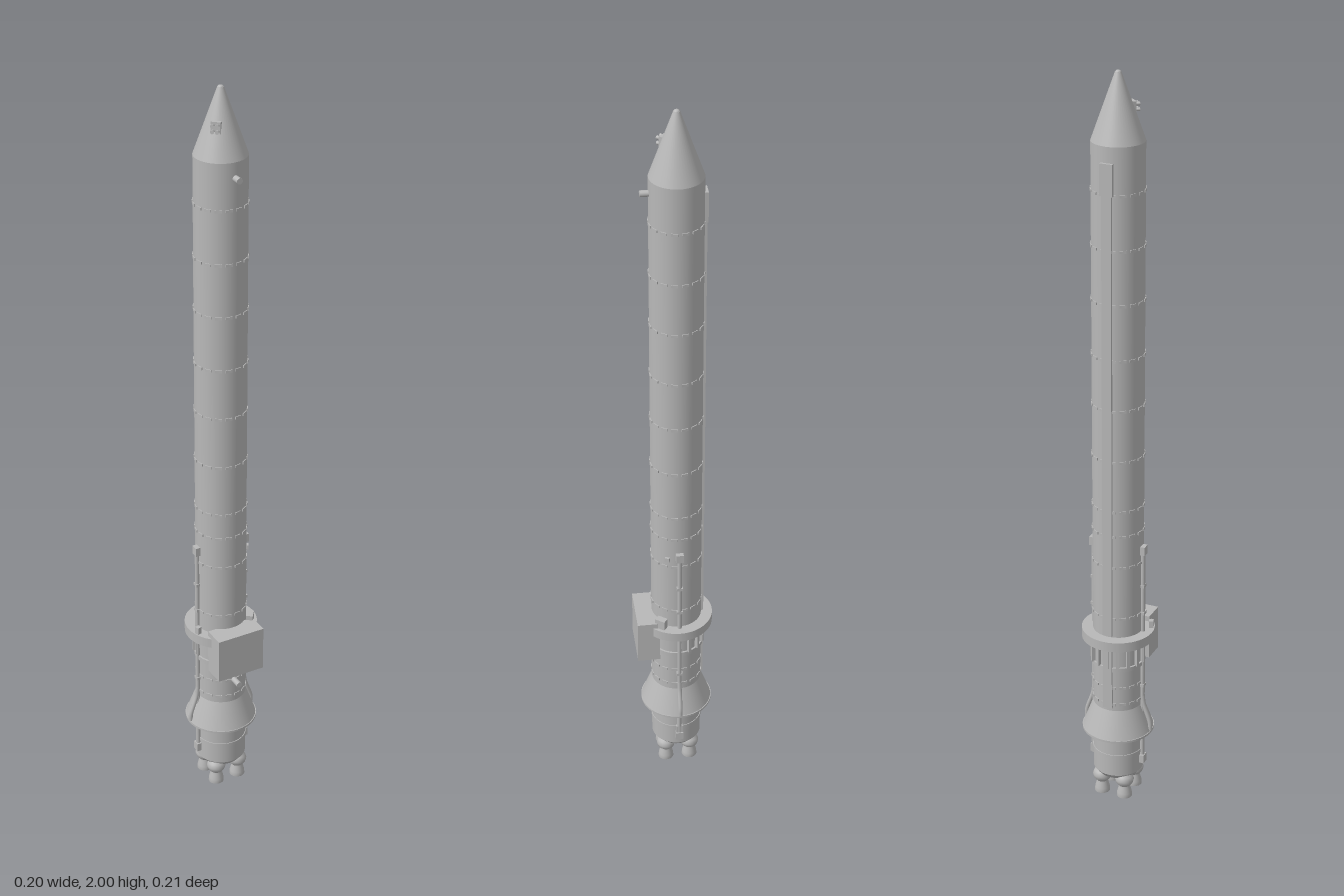
import * as THREE from 'three';

export function createModel() {
  const model = new THREE.Group();
  model.name = 'rocket';
  // the hull axis sits slightly behind the origin
  const rocket = new THREE.Group();
  rocket.name = 'hullAssembly';
  rocket.position.z = -0.009;
  model.add(rocket);
  const grey = new THREE.MeshStandardMaterial({ color: 0xb8b8b8 });
  grey.name = 'hull grey';
  const R = 0.067;

  function add(name, geometry, x = 0, y = 0, z = 0, parent = rocket) {
    const mesh = new THREE.Mesh(geometry, grey);
    mesh.name = name;
    mesh.position.set(x, y, z);
    parent.add(mesh);
    return mesh;
  }
  const cyl = (rt, rb, y0, y1, n = 48) => new THREE.CylinderGeometry(rt, rb, y1 - y0, n).translate(0, (y0 + y1) / 2, 0);
  const box = (w, h, d) => new THREE.BoxGeometry(w, h, d);
  const lathe = (pts, n = 24) => new THREE.LatheGeometry(pts.map(p => new THREE.Vector2(...p)), n);

  // place a box on the hull at an angle measured from the front towards +x
  function onHull(name, angle, y, w, h, d, r = R) {
    const m = add(name, box(w, h, d), Math.sin(angle) * r, y, Math.cos(angle) * r);
    m.rotation.y = angle;
    return m;
  }

  // hull and nose
  add('hull', cyl(R, R, 0.075, 1.83));
  add('noseCone', cyl(0.008, R, 1.83, 1.995));
  add('noseTip', new THREE.SphereGeometry(0.008, 16, 8).scale(1, 0.7, 1), 0, 1.994, 0);
  add('hullBase', cyl(R, 0.055, 0.06, 0.075));

  // segment joints, each a broken ring of short raised clips
  const joints = [1.71, 1.57, 1.43, 1.285, 1.15, 1.01, 0.87, 0.80, 0.71, 0.56, 0.35, 0.30];
  for (const y of joints) {
    for (let i = 0; i < 16; i++) onHull('jointClip', (i + 0.5) * Math.PI / 8, y, 0.017, 0.007, 0.004);
  }

  // flared skirt and service ring
  add('skirt', cyl(R, 0.096, 0.2, 0.28));
  add('skirtLip', cyl(0.097, 0.097, 0.197, 0.203));
  add('serviceRing', cyl(0.097, 0.097, 0.478, 0.505));
  add('ringUnderside', cyl(0.097, 0.08, 0.468, 0.478));

  // collar below the ring with struts around the back
  add('collar', cyl(0.072, 0.072, 0.402, 0.414));
  for (let i = 0; i < 9; i++) {
    const a = Math.PI / 2 + i * Math.PI / 8;
    onHull('ringStrut', a, 0.442, 0.008, 0.06, 0.012, 0.07);
  }
  add('lowerBand', cyl(0.069, 0.069, 0.13, 0.14));

  // equipment box on the front
  add('equipmentBox', box(0.134, 0.125, 0.06), 0, 0.457, 0.082);

  // raceway down the back with a wider fairing at its top
  add('raceway', box(0.026, 1.26, 0.012), 0, 1.14, -0.066);
  add('racewayFairing', box(0.034, 0.08, 0.016), 0, 1.75, -0.066);
  add('lowerRaceway', box(0.026, 0.19, 0.012), 0, 0.385, -0.066);

  // feed pipes on both sides with end fittings
  for (const s of [-1, 1]) {
    add('feedPipe', cyl(0.006, 0.006, 0.1, 0.75, 12), s * 0.071, 0, 0);
    for (const y of [0.745, 0.11]) add('pipeFitting', box(0.014, 0.024, 0.02), s * 0.072, y, 0);
    for (const y of [0.64, 0.56, 0.34]) add('pipeClamp', box(0.012, 0.008, 0.016), s * 0.071, y, 0);
    // pipe cover riding over the skirt
    const path = new THREE.CatmullRomCurve3([
      [0.071, 0.31], [0.075, 0.28], [0.093, 0.225], [0.094, 0.205]
    ].map(([x, y]) => new THREE.Vector3(s * x, y, 0)));
    add('skirtPipe', new THREE.TubeGeometry(path, 12, 0.006, 10));
  }
  onHull('lowerPipeBox', Math.PI / 2, 0.12, 0.018, 0.05, 0.018);

  // angled junction box and small side connector
  onHull('junctionBox', 0.92, 0.515, 0.028, 0.035, 0.018, 0.079);
  onHull('sideConnector', -1.25, 0.515, 0.012, 0.02, 0.012, 0.088);
  onHull('sideSensor', 1.1, 0.735, 0.012, 0.012, 0.012);

  // front couplings
  for (const [y, len] of [[1.79, 0.03], [0.35, 0.04]]) {
    const m = add('frontCoupling', new THREE.CylinderGeometry(0.008, 0.008, len, 16), 0.003, y, 0.058 + len / 2);
    m.rotation.x = Math.PI / 2;
  }

  // thruster block on the nose
  const block = new THREE.Group();
  block.name = 'thrusterBlock';
  block.position.set(-0.027, 1.908, 0.027);
  block.rotation.y = -Math.PI / 4;
  rocket.add(block);
  add('thrusterPlate', box(0.025, 0.03, 0.014), 0, 0, -0.003, block);
  for (const x of [-0.006, 0.006]) for (const y of [-0.007, 0.007]) {
    const m = add('thruster', new THREE.CylinderGeometry(0.005, 0.003, 0.012, 10), x, y, 0.008, block);
    m.rotation.x = Math.PI / 2;
  }

  // four engines
  for (const x of [-0.033, 0.033]) for (const z of [-0.033, 0.033]) {
    add('engineBell', lathe([[0, 0.025], [0.012, 0.025], [0.019, 0], [0.021, 0], [0.02, 0.012],
      [0.016, 0.027], [0.015, 0.033]]), x, 0, z);
    add('engineChamber', lathe([[0.015, 0.033], [0.023, 0.042], [0.026, 0.053], [0.022, 0.064], [0.012, 0.075]]), x, 0, z);
  }
  add('engineMount', cyl(0.025, 0.02, 0.04, 0.062, 20));
  return model;
}
